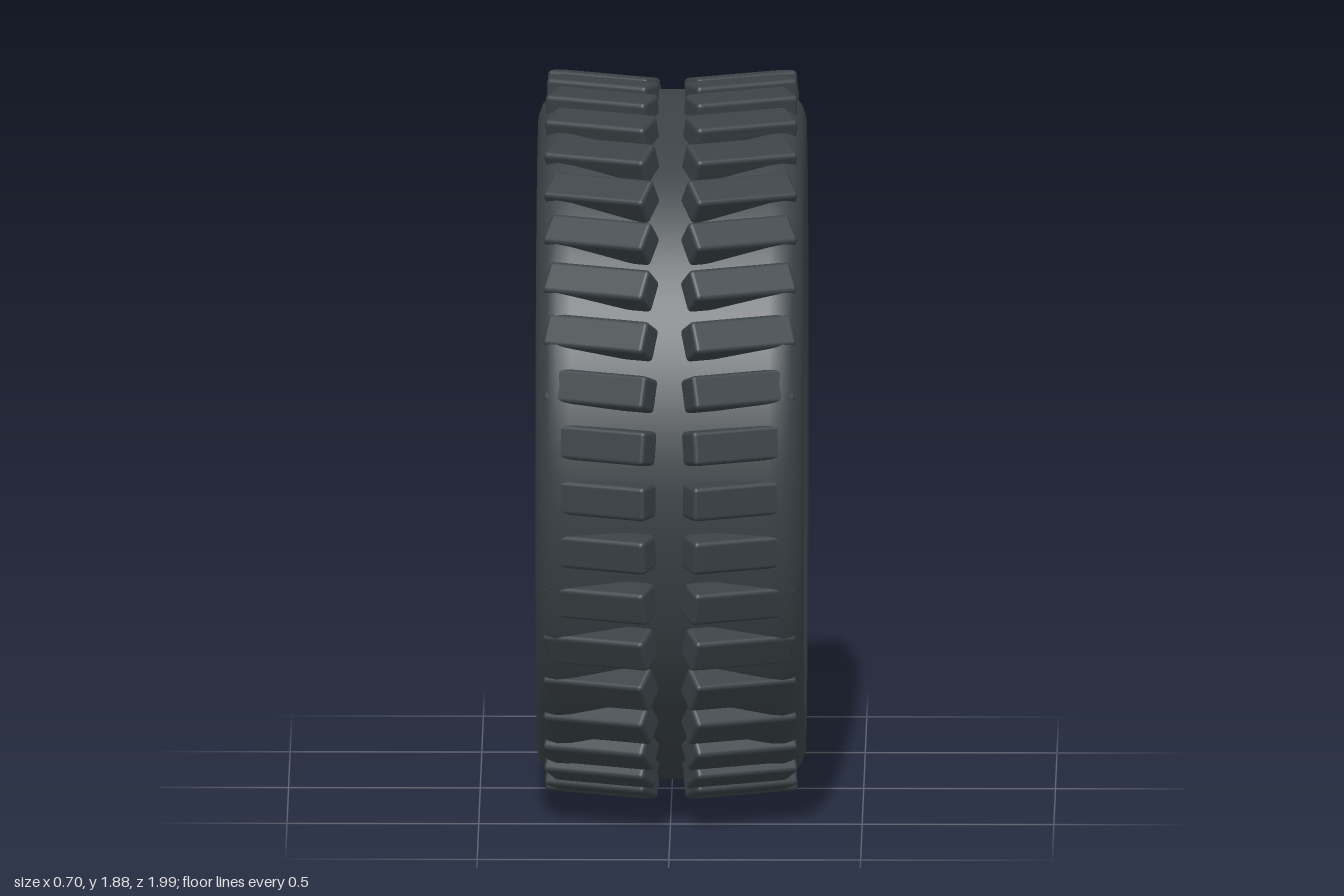
import * as THREE from 'three';
import { RoundedBoxGeometry } from 'three/addons/geometries/RoundedBoxGeometry.js';

const AXLE_Y = 0.94;
const LUGS = 40, SPOKES = 6, BOLTS = 5;

const rubber = new THREE.MeshStandardMaterial({ color: 0x3a4246 });
const gold = new THREE.MeshStandardMaterial({ color: 0xc4a86c });
const steel = new THREE.MeshStandardMaterial({ color: 0xc0c0c0 });

// Adds a named mesh to a parent
function add(parent, name, geometry, material) {
  const mesh = new THREE.Mesh(geometry, material);
  mesh.name = name;
  parent.add(mesh);
  return mesh;
}

// Revolves [x, radius] points around the x axis; points run from -x to +x on outward surfaces
function revolve(points, segments = 96) {
  const profile = points.map(([x, r]) => new THREE.Vector2(r, x));
  return new THREE.LatheGeometry(profile, segments).rotateZ(-Math.PI / 2);
}

// Mirrors a half profile (outside to middle) in x
function mirrored(half) {
  return [...half.map(([x, r]) => [-x, r]), ...half.slice().reverse()];
}

export function createModel() {
  const model = new THREE.Group();
  model.name = 'wheel';
  const wheel = new THREE.Group();
  wheel.name = 'wheelAssembly';
  wheel.position.y = AXLE_Y;
  model.add(wheel);

  // Tyre: bulging sidewalls and a flat crown
  add(wheel, 'tyre', revolve(mirrored([
    [0.29, 0.69], [0.315, 0.705], [0.336, 0.73], [0.347, 0.76], [0.35, 0.795],
    [0.349, 0.83], [0.338, 0.86], [0.32, 0.882], [0.295, 0.895], [0.26, 0.9],
  ])), rubber);

  // Tread lugs: each pair forms a chevron yawed about the vertical axis
  const lugGeometry = new RoundedBoxGeometry(0.29, 0.08, 0.09, 2, 0.012);
  const tread = new THREE.Group();
  tread.name = 'tread';
  wheel.add(tread);
  for (const side of [1, -1]) {
    for (let i = 0; i < LUGS; i++) {
      const a = (i / LUGS) * Math.PI * 2;
      const lug = add(tread, 'treadLug', lugGeometry, rubber);
      lug.position.set(side * 0.18, Math.cos(a) * 0.9, Math.sin(a) * 0.9);
      lug.rotation.set(a, side * 0.44, 0, 'YXZ');
    }
  }

  // Rim: open barrel with a rounded lip on each side
  const rimMaterial = gold.clone();
  rimMaterial.side = THREE.DoubleSide;
  add(wheel, 'rimBarrel', revolve([[-0.3, 0.635], [0.3, 0.635]]), rimMaterial);
  for (const side of [1, -1]) {
    const lip = add(wheel, 'rimLip', new THREE.TorusGeometry(0.665, 0.035, 16, 96), gold);
    lip.rotation.y = Math.PI / 2;
    lip.position.x = side * 0.3;
  }

  // Hub: thick disc with rounded edges, set towards the outer face
  const hubProfile = [[0.09, 0], [0.09, 0.14]];
  for (let i = 1; i <= 6; i++) {
    const t = (i / 6) * Math.PI / 2;
    hubProfile.push([0.13 - 0.04 * Math.cos(t), 0.145 + 0.045 * Math.sin(t)]);
  }
  for (let i = 0; i <= 6; i++) {
    const t = (i / 6) * Math.PI / 2;
    hubProfile.push([0.18 + 0.045 * Math.sin(t), 0.13 + 0.06 * Math.cos(t)]);
  }
  hubProfile.push([0.232, 0.07], [0.233, 0]);
  add(wheel, 'hub', revolve(hubProfile, 48), gold);

  // Spokes
  const spokeGeometry = new RoundedBoxGeometry(0.1, 0.15, 0.47, 2, 0.012).translate(0.165, 0, 0.4);
  for (let i = 0; i < SPOKES; i++) {
    const spoke = add(wheel, 'spoke', spokeGeometry, gold);
    spoke.rotation.x = (i / SPOKES) * Math.PI * 2;
  }

  // Centre cap and wheel bolts
  add(wheel, 'centreCap', revolve([
    [0.2, 0.075], [0.25, 0.075], [0.256, 0.069], [0.256, 0],
  ], 32), steel);
  const boltGeometry = revolve([
    [0.2, 0.025], [0.237, 0.025], [0.246, 0.021], [0.251, 0.012], [0.252, 0],
  ], 16);
  for (let i = 0; i < BOLTS; i++) {
    const a = (i / BOLTS) * Math.PI * 2;
    const bolt = add(wheel, 'bolt', boltGeometry, steel);
    bolt.position.set(0, Math.sin(a) * 0.12, -Math.cos(a) * 0.12);
  }

  // Valve stem lying along the inside of the barrel
  const valve = add(wheel, 'valveStem', new THREE.CapsuleGeometry(0.012, 0.07, 4, 12), rubber);
  valve.rotation.z = Math.PI / 2;
  valve.position.set(0.18, 0.63, 0);

  return model;
}
